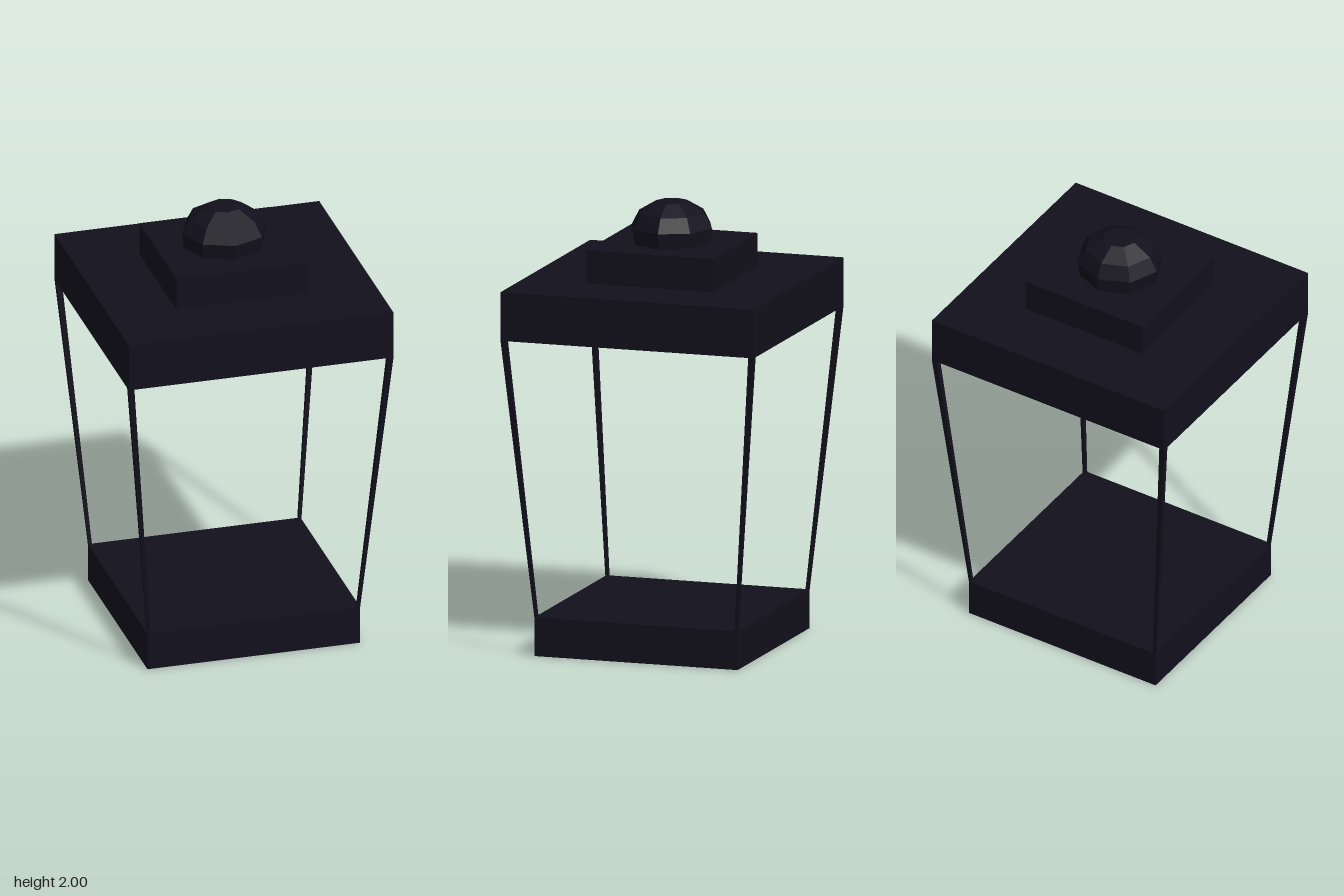
import * as THREE from 'three';

export function createModel() {
  const lantern = new THREE.Group();
  lantern.name = 'lantern';
  const metal = new THREE.MeshStandardMaterial({ color: 0x12101c, flatShading: true });

  const add = (name, geometry) => {
    const mesh = new THREE.Mesh(geometry, metal);
    mesh.name = name;
    lantern.add(mesh);
    return mesh;
  };

  // Rectangular slab from half extents and a height range
  const slab = (name, hx, hz, y0, y1) =>
    add(name, new THREE.BoxGeometry(hx * 2, y1 - y0, hz * 2).translate(0, (y0 + y1) / 2, 0));

  slab('base', 0.49, 0.476, 0, 0.175);
  slab('roof', 0.61, 0.593, 1.44, 1.66);
  slab('roofCap', 0.305, 0.296, 1.66, 1.81);

  // Corner post: a box leaning outward, thicker at the top
  const post = (sx, sz) => {
    const geometry = new THREE.BoxGeometry(1, 1, 1);
    const p = geometry.attributes.position;
    for (let i = 0; i < p.count; i++) {
      const top = p.getY(i) > 0;
      const outerX = top ? 0.61 : 0.49;
      const outerZ = top ? 0.593 : 0.476;
      const t = top ? 0.026 : 0.015;
      const x = p.getX(i) * sx > 0 ? outerX : outerX - t;
      const z = p.getZ(i) * sz > 0 ? outerZ : outerZ - t;
      p.setXYZ(i, sx * x, top ? 1.44 : 0.175, sz * z);
    }
    geometry.computeVertexNormals();
    return geometry;
  };
  for (const sx of [-1, 1]) {
    for (const sz of [-1, 1]) {
      add(`${sz > 0 ? 'front' : 'back'}${sx > 0 ? 'Left' : 'Right'}Post`, post(sx, sz));
    }
  }

  // Eight-sided rounded knob
  const profile = [[0.185, 1.81], [0.193, 1.88], [0.158, 1.945], [0.075, 1.993], [0, 2]];
  const knob = add('knob', new THREE.LatheGeometry(profile.map(([r, y]) => new THREE.Vector2(r, y)), 8));
  knob.scale.z = 0.97;

  return lantern;
}
